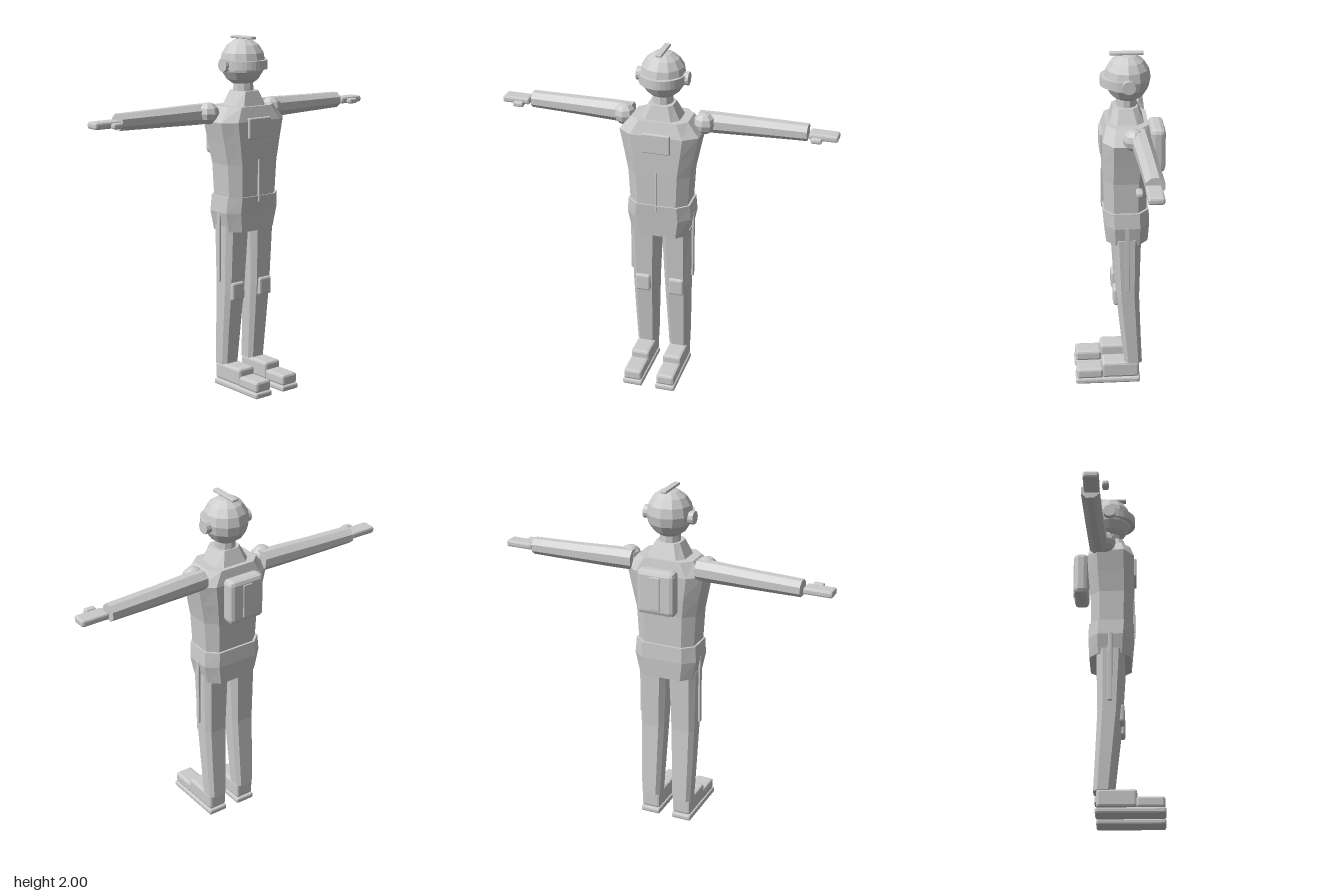
import * as THREE from 'three';
import { RoundedBoxGeometry } from 'three/addons/geometries/RoundedBoxGeometry.js';

export function createModel() {
  const grey = new THREE.MeshStandardMaterial({ color: 0xcccccc });
  grey.name = 'plain grey';
  grey.flatShading = true;
  const model = new THREE.Group();
  model.name = 'figure';

  const add = (name, geometry, x = 0, y = 0, z = 0) => {
    const mesh = new THREE.Mesh(geometry, grey);
    mesh.name = name;
    mesh.position.set(x, y, z);
    model.add(mesh);
    return mesh;
  };

  // Chamfered box given by its extents
  const box = (name, x0, x1, y0, y1, z0, z1, r) =>
    add(name, new RoundedBoxGeometry(x1 - x0, y1 - y0, z1 - z0, 1, r),
      (x0 + x1) / 2, (y0 + y1) / 2, (z0 + z1) / 2);

  // Closed loft through rings of points, counter-clockwise seen from the far end
  const loft = (rings) => {
    const n = rings[0].length;
    const pos = rings.flat(2);
    const idx = [];
    for (let k = 0; k < rings.length - 1; k++) {
      for (let i = 0; i < n; i++) {
        const a = k * n + i, b = k * n + (i + 1) % n;
        idx.push(a, b, b + n, a, b + n, a + n);
      }
    }
    const top = (rings.length - 1) * n;
    for (let i = 1; i < n - 1; i++) {
      idx.push(0, i + 1, i, top, top + i, top + i + 1);
    }
    const g = new THREE.BufferGeometry();
    g.setAttribute('position', new THREE.Float32BufferAttribute(pos, 3));
    g.setIndex(idx);
    const flat = g.toNonIndexed();
    flat.computeVertexNormals();
    return flat;
  };

  // Eight-sided outline with flat front, back and sides
  const fx = 0.66, fz = 0.57;
  const outline = [[fx, 1], [1, fz], [1, -fz], [fx, -1], [-fx, -1], [-1, -fz], [-1, fz], [-fx, 1]];
  // Level: [y, half width, back z, front z, centre x]
  const body = (levels) => loft(levels.map(([y, w, zb, zf, cx = 0]) =>
    outline.map(([u, v]) => [cx + u * w, y, (zf + zb) / 2 + v * (zf - zb) / 2])));

  // Torso, jacket hem and collar
  add('torso', body([
    [1.08, 0.165, -0.15, 0.08], [1.3, 0.177, -0.155, 0.087],
    [1.42, 0.2, -0.168, 0.09], [1.54, 0.225, -0.175, 0.092], [1.62, 0.16, -0.16, 0.07],
  ]));
  add('hips', body([
    [0.92, 0.162, -0.16, 0.073], [1.03, 0.185, -0.166, 0.082], [1.12, 0.178, -0.163, 0.09],
  ]));
  add('collar', body([[1.6, 0.12, -0.145, 0.055], [1.7, 0.07, -0.105, 0.03]]));
  add('neck', new THREE.CylinderGeometry(0.056, 0.06, 0.09, 10), 0, 1.71, -0.045);

  // Head with visor band, ear discs and crest
  const head = add('head', new THREE.SphereGeometry(0.127, 12, 8), 0, 1.857, -0.05);
  head.scale.y = 1.05;
  const band = new THREE.Shape();
  band.absellipse(0, 0, 0.132, 0.148, Math.PI, Math.PI * 2, false);
  band.absellipse(0, 0, 0.11, 0.12, Math.PI * 2, Math.PI, true);
  const visor = add('visor', new THREE.ExtrudeGeometry(band,
    { depth: 0.05, bevelEnabled: false, curveSegments: 8 }), 0, 1.87, -0.05);
  visor.rotation.x = Math.PI / 2;
  visor.scale.y = -1;
  visor.geometry.scale(1, -1, 1);
  visor.scale.y = 1;
  // Turn triangles back after mirroring the arc to the front
  const vp = visor.geometry.attributes.position;
  for (let i = 0; i < vp.count; i += 3) {
    const a = [vp.getX(i), vp.getY(i), vp.getZ(i)];
    vp.setXYZ(i, vp.getX(i + 1), vp.getY(i + 1), vp.getZ(i + 1));
    vp.setXYZ(i + 1, ...a);
  }
  visor.geometry.computeVertexNormals();
  box('crest', -0.018, 0.018, 1.984, 2, -0.137, 0.046, 0.005);

  // Chest panel, zip and backpack
  box('chestPanel', -0.08, 0.08, 1.445, 1.56, 0.07, 0.105, 0.006);
  box('zip', -0.004, 0.004, 1.085, 1.325, 0.07, 0.096, 0.002);
  box('backpack', -0.11, 0.11, 1.33, 1.585, -0.255, -0.172, 0.025);
  box('backpackStrip', -0.03, 0.03, 1.36, 1.555, -0.26, -0.235, 0.005);

  // Mirrored parts
  for (const s of [1, -1]) {
    const side = s > 0 ? 'left' : 'right';
    const sbox = (name, x0, x1, ...rest) =>
      box(side + name, Math.min(s * x0, s * x1), Math.max(s * x0, s * x1), ...rest);

    const ear = add(side + 'EarDisc', new THREE.CylinderGeometry(0.037, 0.037, 0.035, 12), s * 0.129, 1.845, -0.05);
    ear.rotation.z = Math.PI / 2;

    add(side + 'Shoulder', new THREE.SphereGeometry(0.062, 8, 6), s * 0.227, 1.585, -0.072);

    // Arm: [x, y, z, half height, half depth]
    const arm = [[0.19, 1.58, -0.108, 0.056, 0.052], [0.3, 1.58, -0.112, 0.056, 0.052],
      [0.5, 1.579, -0.122, 0.051, 0.05], [0.79, 1.579, -0.132, 0.045, 0.05]];
    add(side + 'Arm', loft(arm.map(([x, y, z, h, d]) =>
      Array.from({ length: 8 }, (_, i) => {
        const t = s * (i + 0.5) * Math.PI / 4;
        return [s * x, y + Math.cos(t) * h * 1.06, z + Math.sin(t) * d * 1.06];
      }))));
    sbox('Hand', 0.8, 0.96, 1.556, 1.594, -0.165, -0.08, 0.011);
    sbox('Thumb', 0.82, 0.88, 1.558, 1.588, -0.066, -0.031, 0.009);

    // Leg, knee pad and side stripe
    add(side + 'Leg', body([
      [0.13, 0.057, -0.132, -0.03, s * 0.097], [0.34, 0.064, -0.122, -0.008, s * 0.096],
      [0.58, 0.071, -0.112, 0.018, s * 0.094], [0.95, 0.082, -0.12, 0.04, s * 0.09],
    ]));
    sbox('KneePad', 0.055, 0.144, 0.52, 0.625, 0, 0.036, 0.012);
    sbox('SideStripe', 0.174, 0.187, 0.63, 1.04, -0.055, -0.03, 0.003);

    // Boot
    sbox('BootAnkle', 0.042, 0.153, 0.036, 0.136, -0.116, 0.102, 0.014);
    sbox('BootToe', 0.044, 0.152, 0.032, 0.096, 0.095, 0.25, 0.014);
    sbox('BootSole', 0.039, 0.157, 0, 0.034, -0.122, 0.256, 0.01);
  }
  return model;
}
